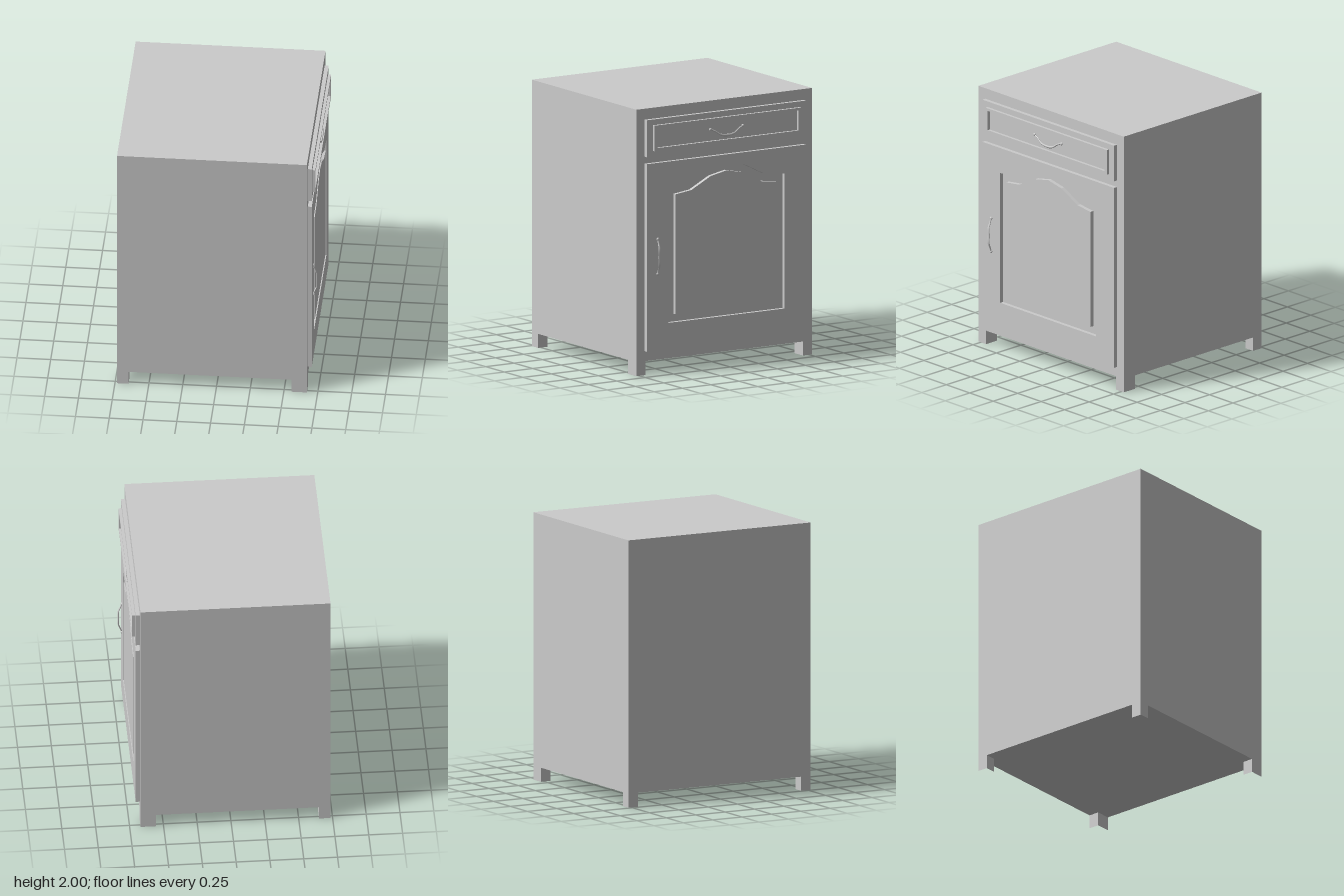
import * as THREE from 'three';

const material = new THREE.MeshStandardMaterial({ color: 0xcccccc });
const BACK = -0.735, FACE = 0.67, HALF = 0.775, FLOOR = 0.105;

function addMesh(parent, name, geometry) {
  const mesh = new THREE.Mesh(geometry, material);
  mesh.name = name;
  parent.add(mesh);
  return mesh;
}

// Box given by its limits, leaving out some sides (0..5 = +x -x +y -y +z -z)
function box(x0, x1, y0, y1, z0, z1, omit = []) {
  const g = new THREE.BoxGeometry(x1 - x0, y1 - y0, z1 - z0);
  g.translate((x0 + x1) / 2, (y0 + y1) / 2, (z0 + z1) / 2);
  const index = Array.from(g.index.array);
  g.setIndex(index.filter((v, i) => !omit.includes(Math.floor(i / 6))));
  g.clearGroups();
  return g;
}

const toPoints = (list) => list.map(([a, b]) => new THREE.Vector2(a, b));
const rect = (w, y0, y1) => toPoints([[-w, y0], [w, y0], [w, y1], [-w, y1]]);

// Symmetric outline with a straight bottom and an arched top
function arch(bottom, half) {
  const w = half[0][0];
  const mirrored = half.slice(0, -1).reverse().map(([a, b]) => [-a, b]);
  return toPoints([[-w, bottom], [w, bottom], ...half, ...mirrored]);
}

// Board facing +x, made from an outline in the z-y plane, with an optional opening
function board(outline, x0, x1, opening) {
  const shape = new THREE.Shape(outline);
  if (opening) shape.holes.push(new THREE.Path(opening));
  const g = new THREE.ExtrudeGeometry(shape, { depth: x1 - x0, bevelEnabled: false });
  return g.rotateY(Math.PI / 2).translate(x0, 0, 0);
}

// Bow handle: thin bar that widens along one axis towards its middle, with a knob at each end
function handle(name, points, axis, widen) {
  const group = new THREE.Group();
  group.name = name;
  const path = points.map((p) => new THREE.Vector3(...p));
  const curve = new THREE.CatmullRomCurve3(path, false, 'centripetal');
  const steps = 20, sides = 8;
  const g = new THREE.TubeGeometry(curve, steps, 0.005, sides);
  const pos = g.attributes.position, v = new THREE.Vector3();
  for (let i = 0; i <= steps; i++) {
    const centre = curve.getPointAt(i / steps);
    const scale = 1 + widen * Math.sin((Math.PI * i) / steps) ** 2;
    for (let j = 0; j <= sides; j++) {
      const k = i * (sides + 1) + j;
      v.fromBufferAttribute(pos, k);
      v[axis] = centre[axis] + (v[axis] - centre[axis]) * scale;
      pos.setXYZ(k, v.x, v.y, v.z);
    }
  }
  g.computeVertexNormals();
  addMesh(group, 'handleBar', g);
  for (const end of [path[0], path[path.length - 1]]) {
    const knob = addMesh(group, 'handleKnob', new THREE.SphereGeometry(0.012, 12, 8));
    knob.position.copy(end);
    knob.scale.x = 0.7;
  }
  return group;
}

export function createModel() {
  const cabinet = new THREE.Group();
  cabinet.name = 'cabinet';

  // Carcass, with a bottom cut away where the hollow legs stand
  addMesh(cabinet, 'carcass', box(BACK, FACE, FLOOR, 2, -HALF, HALF, [3]));
  const bx = -0.65, fx = 0.557, lz = 0.693;
  const bottom = new THREE.Shape(toPoints([
    [bx, -HALF], [fx, -HALF], [fx, -lz], [FACE, -lz], [FACE, lz], [fx, lz],
    [fx, HALF], [bx, HALF], [bx, lz], [BACK, lz], [BACK, -lz], [bx, -lz],
  ]));
  const bottomGeometry = new THREE.ShapeGeometry(bottom).rotateX(Math.PI / 2);
  addMesh(cabinet, 'carcassBottom', bottomGeometry.translate(0, FLOOR, 0));

  // Four hollow legs, open at the foot
  for (const [x0, x1] of [[BACK, bx], [fx, FACE]]) {
    for (const [z0, z1] of [[-HALF, -lz], [lz, HALF]]) {
      addMesh(cabinet, 'leg', box(x0, x1, 0, FLOOR, z0, z1, [2, 3]));
    }
  }

  // Door: a frame, then a raised arched panel separated by a groove
  const door = new THREE.Group();
  door.name = 'door';
  const opening = arch(0.377, [[0.512, 1.392], [0.33, 1.41], [0.15, 1.5], [0, 1.528]]);
  const panel = arch(0.435, [[0.45, 1.335], [0.31, 1.353], [0.14, 1.44], [0, 1.468]]);
  addMesh(door, 'doorFrame', board(rect(0.703, 0.18, 1.588), FACE, 0.7, opening));
  addMesh(door, 'doorPanel', board(panel, FACE, 0.7));
  door.add(handle('doorHandle', [
    [0.702, 1.015, 0.607], [0.712, 0.985, 0.607], [0.727, 0.945, 0.607],
    [0.728, 0.885, 0.607], [0.727, 0.825, 0.607], [0.712, 0.785, 0.607],
    [0.702, 0.755, 0.607],
  ], 'z', 1.8));
  cabinet.add(door);

  // Drawer front with a raised rim
  const drawer = new THREE.Group();
  drawer.name = 'drawer';
  addMesh(drawer, 'drawerFront', board(rect(0.703, 1.64, 1.918), FACE, 0.7));
  addMesh(drawer, 'drawerRim',
    board(rect(0.648, 1.682, 1.875), 0.7, 0.722, rect(0.622, 1.705, 1.855)));
  drawer.add(handle('drawerHandle', [
    [0.702, 1.79, 0.143], [0.707, 1.775, 0.105], [0.713, 1.745, 0.06],
    [0.715, 1.736, 0], [0.713, 1.745, -0.06], [0.707, 1.775, -0.105],
    [0.702, 1.79, -0.143],
  ], 'y', 0.9));
  cabinet.add(drawer);

  return cabinet;
}
